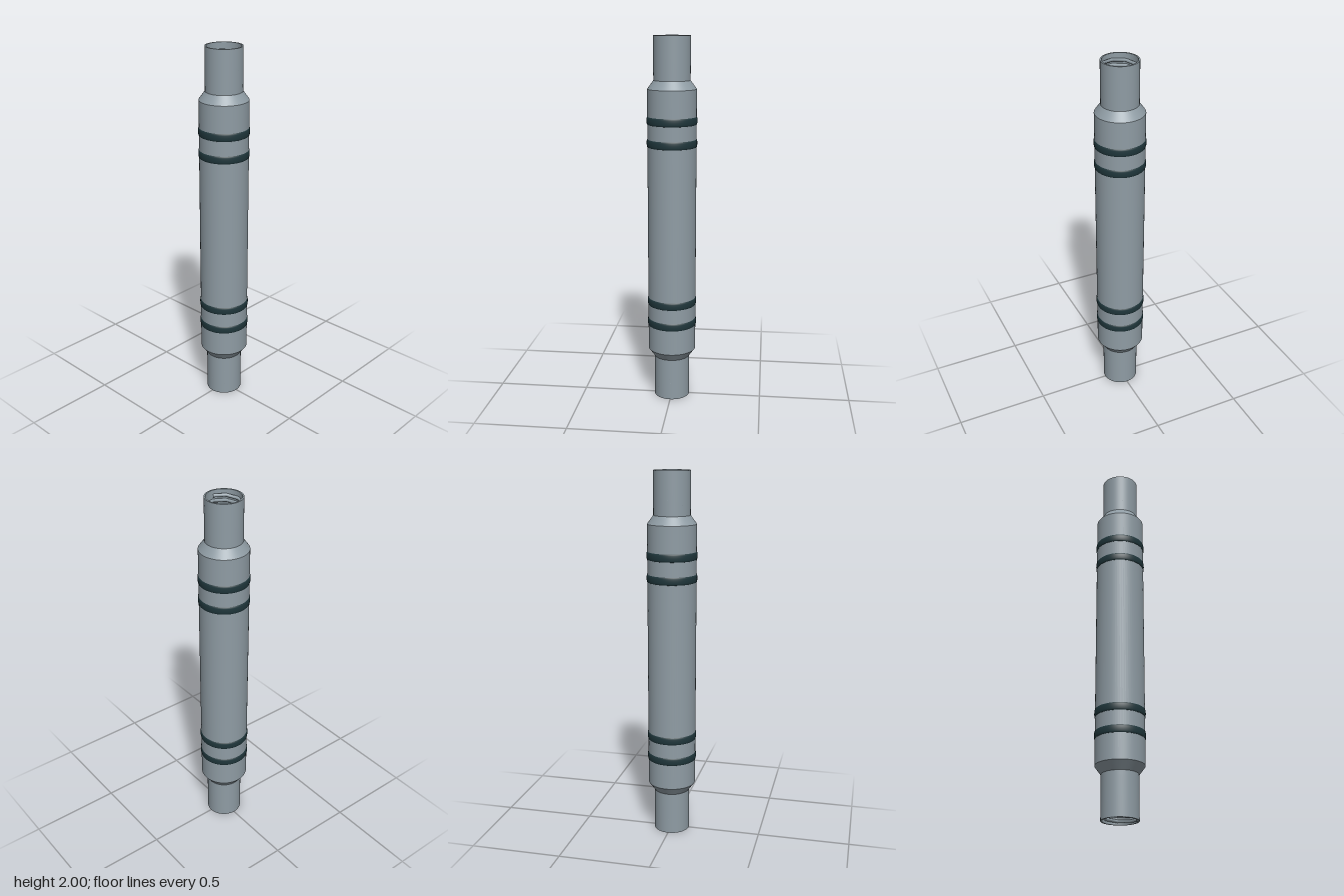
import * as THREE from 'three';
import { mergeGeometries } from 'three/addons/utils/BufferGeometryUtils.js';

const steel = new THREE.MeshStandardMaterial({ color: 0x8f9ca4 });
steel.name = 'steel';
const seal = new THREE.MeshStandardMaterial({ color: 0x1f363b });
seal.name = 'dark seal';

const SIDES = 64;
const NECK = 0.098, BORE = 0.09, BODY = 0.131;

// Turned profile with a sharp edge at every corner, round about the axis
function turned(points) {
  const bands = [];
  for (let i = 0; i < points.length - 1; i++) {
    const pair = [points[i], points[i + 1]].map(([r, y]) => new THREE.Vector2(r, y));
    bands.push(new THREE.LatheGeometry(pair, SIDES));
  }
  return mergeGeometries(bands);
}

// Coil with eight straight steps per turn, so only its corners break the neck surface
function coil(y0, y1, turns) {
  const path = new THREE.CurvePath();
  const at = (i) => {
    const a = (i * Math.PI) / 4;
    const y = y0 + ((y1 - y0) * i) / (turns * 8);
    return new THREE.Vector3(0.0895 * Math.sin(a), y, 0.0895 * Math.cos(a));
  };
  for (let i = 0; i < turns * 8; i++) path.add(new THREE.LineCurve3(at(i), at(i + 1)));
  return new THREE.TubeGeometry(path, turns * 8, 0.009, 8, false);
}

export function createModel() {
  const model = new THREE.Group();
  const add = (name, geometry, material) => {
    const mesh = new THREE.Mesh(geometry, material);
    mesh.name = name;
    model.add(mesh);
    return mesh;
  };

  // Hollow barrel with chamfered shoulders
  add('barrel', turned([
    [NECK, 0.21], [NECK, 0.235], [BODY, 0.28], [BODY, 1.725], [NECK, 1.77],
  ]), steel);

  // Open necks and the straight bore
  add('lowerNeck', turned([[BORE, 0], [NECK, 0], [NECK, 0.21]]), steel);
  add('upperNeck', turned([[NECK, 1.77], [NECK, 2], [BORE, 2]]), steel);
  add('bore', turned([[BORE, 2], [BORE, 0]]), steel);

  // Threads
  add('lowerThread', coil(0.012, 0.2, 7), steel);
  add('upperThread', coil(1.785, 1.973, 7), steel);

  // Rounded seal rings in two pairs
  const ringProfile = [
    [0.128, -0.022], [0.1325, -0.02], [0.1345, -0.012], [0.135, 0],
    [0.1345, 0.012], [0.1325, 0.02], [0.128, 0.022],
  ].map(([r, y]) => new THREE.Vector2(r, y));
  const ring = new THREE.LatheGeometry(ringProfile, SIDES);
  for (const y of [0.44, 0.56, 1.44, 1.56]) add('sealRing', ring, seal).position.y = y;

  return model;
}
